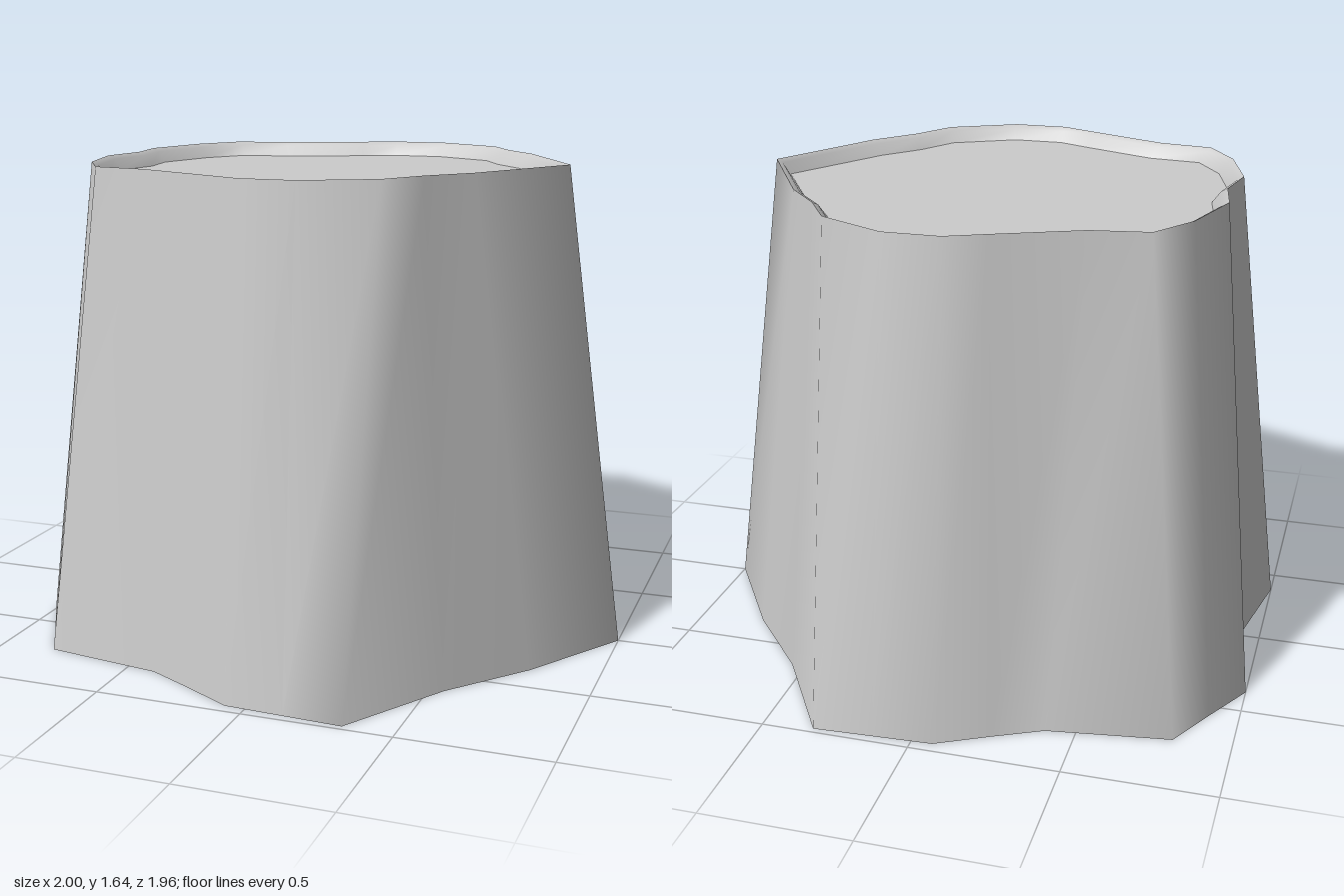
import * as THREE from 'three';

// Half outline of the stump: [base x, base z, top x, top z], mirrored in z
const HALF = [
  [1, 0, 0.78, 0], [0.77, 0.36, 0.56, 0.39], [0.55, 0.62, 0.44, 0.53],
  [0.33, 0.98, 0.35, 0.68], [0.13, 0.97, 0.12, 0.8], [-0.07, 0.96, -0.07, 0.8],
  [-0.24, 0.87, -0.2, 0.74], [-0.4, 0.79, -0.47, 0.62], [-0.81, 0.73, -0.66, 0.59],
  [-0.9, 0.56, -0.76, 0.43], [-1, 0.38, -0.83, 0.18], [-0.93, 0, -0.8, 0],
];
const OUTLINE = [
  ...HALF,
  ...HALF.slice(1, -1).reverse().map(([bx, bz, tx, tz]) => [bx, -bz, tx, -tz]),
];
const TOP = 1.64;

// Ring at the top, drawn inward by d
const topRing = (d, y) => OUTLINE.map(([, , x, z]) => {
  const s = 1 - d / Math.hypot(x, z);
  return [x * s, y, z * s];
});

// Smooth closed band through a list of rings
function loft(rings) {
  const n = rings[0].length, index = [];
  for (let r = 0; r < rings.length - 1; r++) {
    for (let i = 0; i < n; i++) {
      const j = (i + 1) % n;
      const a = r * n + i, b = r * n + j, c = a + n, d = b + n;
      index.push(a, c, b, b, c, d);
    }
  }
  const geo = new THREE.BufferGeometry();
  geo.setAttribute('position', new THREE.Float32BufferAttribute(rings.flat(2), 3));
  geo.setIndex(index);
  geo.computeVertexNormals();
  return geo;
}

export function createModel() {
  const group = new THREE.Group();
  group.name = 'stump';
  const grey = new THREE.MeshStandardMaterial({ color: 0xcccccc, side: THREE.DoubleSide });
  grey.name = 'plain grey';
  const add = (name, geo) => {
    const mesh = new THREE.Mesh(geo, grey);
    mesh.name = name;
    group.add(mesh);
    return mesh;
  };

  // Lobed, tapering side, open underneath
  const base = OUTLINE.map(([x, z]) => [x, 0, z]);
  add('bark', loft([base, topRing(0, TOP)]));

  // Narrow lip sloping down to the cut face
  add('rim', loft([topRing(0, TOP), topRing(0.022, TOP - 0.012), topRing(0.05, TOP - 0.05)]));

  // Flat cut face, slightly sunken
  const shape = new THREE.Shape(topRing(0.05, 0).map(([x, , z]) => new THREE.Vector2(x, -z)));
  const cut = new THREE.ShapeGeometry(shape);
  cut.rotateX(-Math.PI / 2);
  cut.translate(0, TOP - 0.05, 0);
  add('cutFace', cut);

  return group;
}
